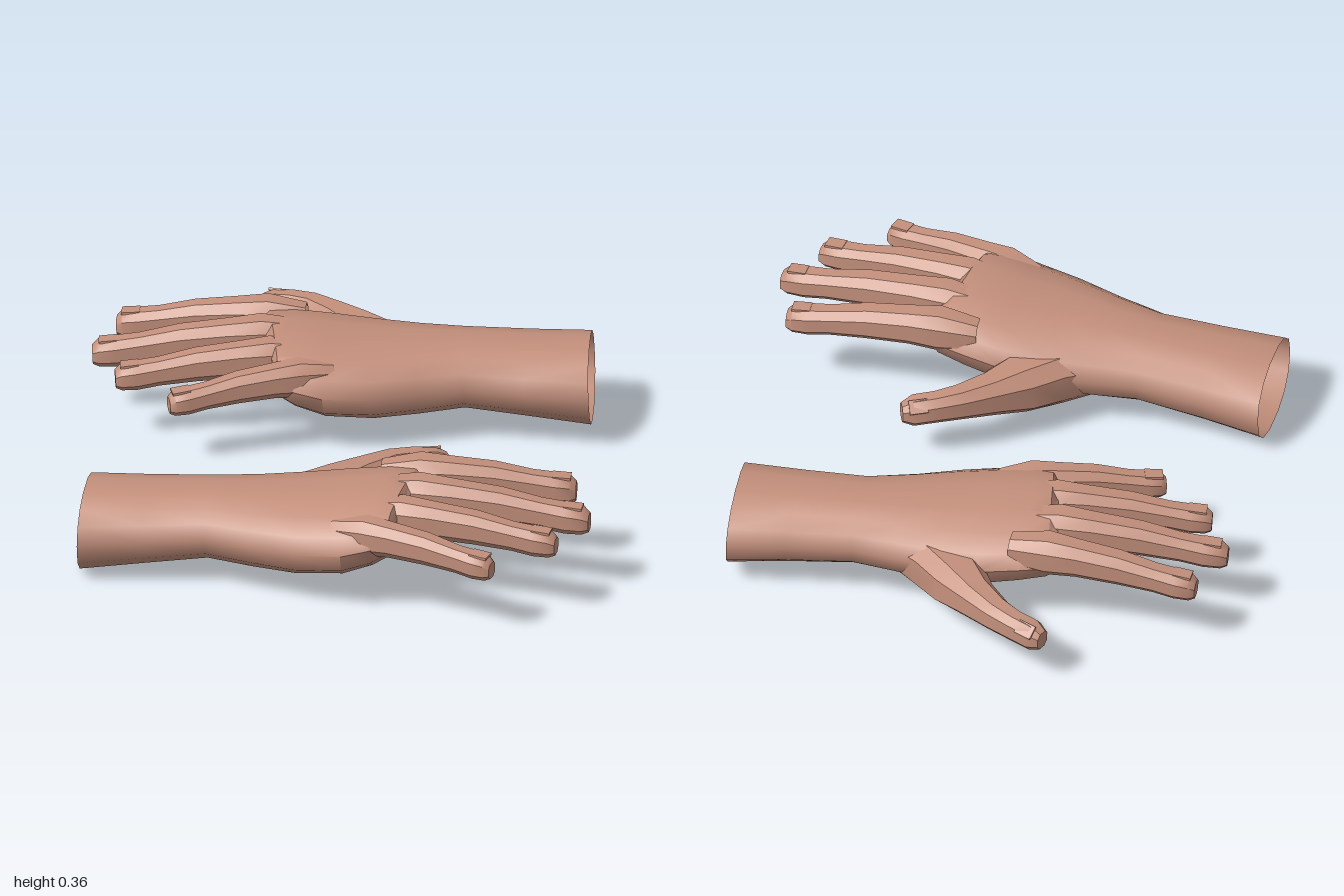
import * as THREE from 'three';
import { toCreasedNormals } from 'three/addons/utils/BufferGeometryUtils.js';

// Rounded cross-section between two side points, with separate bottom, middle and top heights
function ring({ a, b, bottom, mid, top }, n, power) {
  const points = [];
  const offset = n === 8 ? Math.PI / 8 : 0;
  const fit = n === 8 ? 1 / Math.pow(Math.cos(offset), power) : 1;
  const soft = v => Math.sign(v) * Math.pow(Math.abs(v), power) * fit;
  for (let j = 0; j < n; j++) {
    const t = offset + (j / n) * Math.PI * 2;
    const c = soft(Math.cos(t)), s = soft(Math.sin(t));
    points.push([
      (a[0] + b[0]) / 2 + c * (a[0] - b[0]) / 2,
      mid + s * (s > 0 ? top - mid : mid - bottom),
      (a[1] + b[1]) / 2 + c * (a[1] - b[1]) / 2,
    ]);
  }
  return points;
}

// Skin joining the sections, closed at the far end only
function loft(sections, n, power, crease) {
  const positions = [], index = [];
  sections.forEach(s => ring(s, n, power).forEach(p => positions.push(...p)));
  for (let i = 0; i < sections.length - 1; i++) {
    for (let j = 0; j < n; j++) {
      const k = (j + 1) % n;
      const a = i * n + j, b = i * n + k, c = b + n, d = a + n;
      index.push(a, b, c, a, c, d);
    }
  }
  const last = (sections.length - 1) * n;
  for (let j = 1; j < n - 1; j++) index.push(last, last + j, last + j + 1);
  const geometry = new THREE.BufferGeometry();
  geometry.setAttribute('position', new THREE.Float32BufferAttribute(positions, 3));
  geometry.setIndex(index);
  return toCreasedNormals(geometry, crease);
}

// Tapered digit through points [x, y, z, width, height]
function digit(path) {
  const sections = path.map(([x, y, z, w, h], i) => {
    const p = path[Math.max(0, i - 1)], q = path[Math.min(path.length - 1, i + 1)];
    const length = Math.hypot(q[0] - p[0], q[2] - p[2]);
    const sx = (q[2] - p[2]) / length * w / 2, sz = -(q[0] - p[0]) / length * w / 2;
    return { a: [x + sx, z + sz], b: [x - sx, z - sz], bottom: y - h / 2, mid: y, top: y + h / 2 };
  });
  return loft(sections, 8, 0.8, 0.65);
}

// Thin nail plate lying on a digit
function nail(x, y, z, yaw, roll, lift) {
  const geometry = new THREE.BoxGeometry(0.06, 0.008, 0.046);
  geometry.translate(0, lift, 0).rotateX(roll).rotateZ(-0.06).rotateY(yaw).translate(x, y, z);
  return geometry;
}

// Forearm to knuckles: thumb side x,z, little-finger side x,z, bottom, middle, top
const palmSections = [
  [-0.77, 0.29, -0.81, 0.68, 0.0, 0.14, 0.265],
  [-0.58, 0.32, -0.6, 0.69, 0.035, 0.16, 0.275],
  [-0.36, 0.35, -0.4, 0.7, 0.068, 0.18, 0.29],
  [-0.22, 0.345, -0.25, 0.76, 0.063, 0.185, 0.3],
  [-0.08, 0.335, -0.11, 0.82, 0.065, 0.195, 0.313],
  [0.07, 0.335, 0.04, 0.86, 0.085, 0.215, 0.332],
  [0.2, 0.355, 0.13, 0.865, 0.125, 0.24, 0.35],
  [0.29, 0.375, 0.18, 0.85, 0.16, 0.255, 0.35],
  [0.32, 0.4, 0.2, 0.82, 0.195, 0.26, 0.325],
].map(([ax, az, bx, bz, bottom, mid, top]) => ({ a: [ax, az], b: [bx, bz], bottom, mid, top }));

// Finger base and tip positions, with thickness
const fingers = [
  { name: 'indexFinger', base: [0.28, 0.285, 0.42], tip: [0.78, 0.255, 0.44], size: 1 },
  { name: 'middleFinger', base: [0.28, 0.287, 0.565], tip: [0.83, 0.25, 0.645], size: 1 },
  { name: 'ringFinger', base: [0.23, 0.28, 0.7], tip: [0.73, 0.247, 0.808], size: 0.95 },
  { name: 'littleFinger', base: [0.12, 0.262, 0.8], tip: [0.53, 0.235, 0.96], size: 0.9 },
];

// Finger profile: distance along, width, height, rise at the joints
const fingerProfile = [
  [-0.25, 0.09, 0.1, -0.012],
  [0, 0.122, 0.135, 0.004],
  [0.2, 0.104, 0.118, 0.01],
  [0.48, 0.096, 0.108, 0.012],
  [0.72, 0.082, 0.092, 0.004],
  [0.86, 0.088, 0.094, 0.0],
  [0.96, 0.082, 0.085, 0.0],
  [1, 0.058, 0.058, -0.004],
];

const thumbPath = [
  [-0.26, 0.165, 0.46, 0.1, 0.13],
  [-0.1, 0.165, 0.41, 0.18, 0.18],
  [0.01, 0.17, 0.325, 0.18, 0.165],
  [0.09, 0.18, 0.245, 0.125, 0.13],
  [0.18, 0.188, 0.175, 0.096, 0.105],
  [0.25, 0.185, 0.142, 0.084, 0.096],
  [0.32, 0.178, 0.122, 0.086, 0.094],
  [0.355, 0.174, 0.11, 0.055, 0.06],
];

function handParts() {
  const parts = [['palmAndForearm', loft(palmSections, 14, 0.88, 0.75)]];
  for (const { name, base, tip, size } of fingers) {
    const at = t => base.map((v, i) => v + (tip[i] - v) * t);
    parts.push([name, digit(fingerProfile.map(([t, w, h, rise]) => {
      const [x, y, z] = at(t);
      return [x, y + rise, z, w * size, h * size];
    }))]);
    const yaw = Math.atan2(base[2] - tip[2], tip[0] - base[0]);
    parts.push([name + 'Nail', nail(...at(0.9), yaw, 0, 0.045 * size)]);
  }
  parts.push(['thumb', digit(thumbPath)]);
  parts.push(['thumbNail', nail(0.305, 0.18, 0.127, 0.3, -0.75, 0.043)]);
  return parts;
}

// Mirror a non-indexed or indexed geometry across x, keeping faces outward
function mirrorX(source) {
  const geometry = source.index ? source.toNonIndexed() : source;
  geometry.scale(-1, 1, 1);
  for (const key of ['position', 'normal']) {
    const attribute = geometry.attributes[key];
    for (let i = 0; i < attribute.count; i += 3) {
      const p = new THREE.Vector3().fromBufferAttribute(attribute, i + 1);
      const q = new THREE.Vector3().fromBufferAttribute(attribute, i + 2);
      attribute.setXYZ(i + 1, q.x, q.y, q.z);
      attribute.setXYZ(i + 2, p.x, p.y, p.z);
    }
  }
  return geometry;
}

export function createModel() {
  const skin = new THREE.MeshStandardMaterial({ color: 0xc4907c, side: THREE.DoubleSide });
  skin.name = 'skin';
  const model = new THREE.Group();
  model.name = 'pairOfHands';

  const frontHand = new THREE.Group();
  frontHand.name = 'frontHand';
  const backHand = new THREE.Group();
  backHand.name = 'backHand';
  for (const [hand, mirrored] of [[frontHand, false], [backHand, true]]) {
    for (const [name, geometry] of handParts()) {
      // The mirrored hand pivots about its wrist
      const shaped = mirrored ? mirrorX(geometry).translate(-0.38, -0.18, -0.525) : geometry;
      const mesh = new THREE.Mesh(shaped, skin);
      mesh.name = name;
      hand.add(mesh);
    }
    model.add(hand);
  }
  backHand.scale.setScalar(0.98);
  backHand.rotation.set(0, -0.112, 0.045);
  backHand.position.set(0.385, 0.2, -0.5);
  return model;
}
